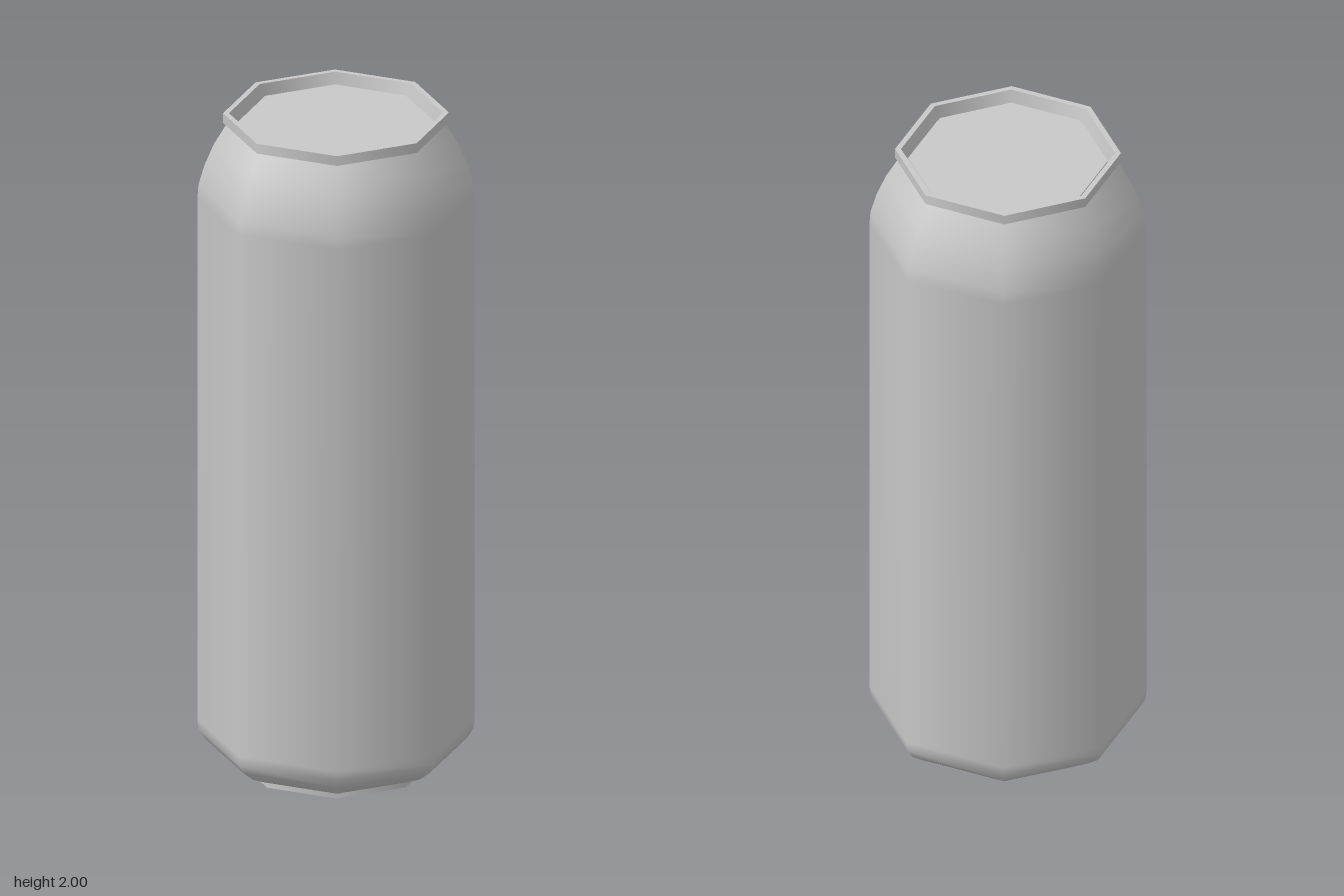
import * as THREE from 'three';

const aluminium = new THREE.MeshStandardMaterial({ color: 0xc8c8c8 });
aluminium.name = 'aluminium';

// Eight-sided turned band, smooth inside the band and sharp at its ends
function band(name, profile) {
  const points = profile.map(([r, y]) => new THREE.Vector2(r, y));
  const mesh = new THREE.Mesh(new THREE.LatheGeometry(points, 8), aluminium);
  mesh.name = name;
  return mesh;
}

// Sharp-edged ring: each step of the profile becomes its own band
function steppedRing(name, profile) {
  const group = new THREE.Group();
  group.name = name;
  for (let i = 0; i < profile.length - 1; i++) {
    group.add(band(name + 'Band' + (i + 1), [profile[i], profile[i + 1]]));
  }
  return group;
}

export function createModel() {
  const can = new THREE.Group();
  can.name = 'can';

  // Recessed base panel and the foot it stands on
  can.add(steppedRing('foot', [
    [0, 0.02], [0.255, 0.02], [0.265, 0], [0.28, 0], [0.28, 0.015],
  ]));

  // Wall with bevelled bottom and rounded shoulder
  can.add(band('body', [
    [0.28, 0.015], [0.335, 0.04], [0.375, 0.072], [0.392, 0.1], [0.395, 0.13],
    [0.395, 1.74], [0.392, 1.78], [0.375, 1.84], [0.348, 1.905], [0.31, 1.97],
  ]));

  // Rim, groove and lid panel
  can.add(steppedRing('rim', [
    [0.31, 1.97], [0.322, 1.97], [0.322, 2], [0.305, 2], [0.294, 1.955],
    [0.288, 1.955], [0.283, 1.97], [0, 1.97],
  ]));

  return can;
}
